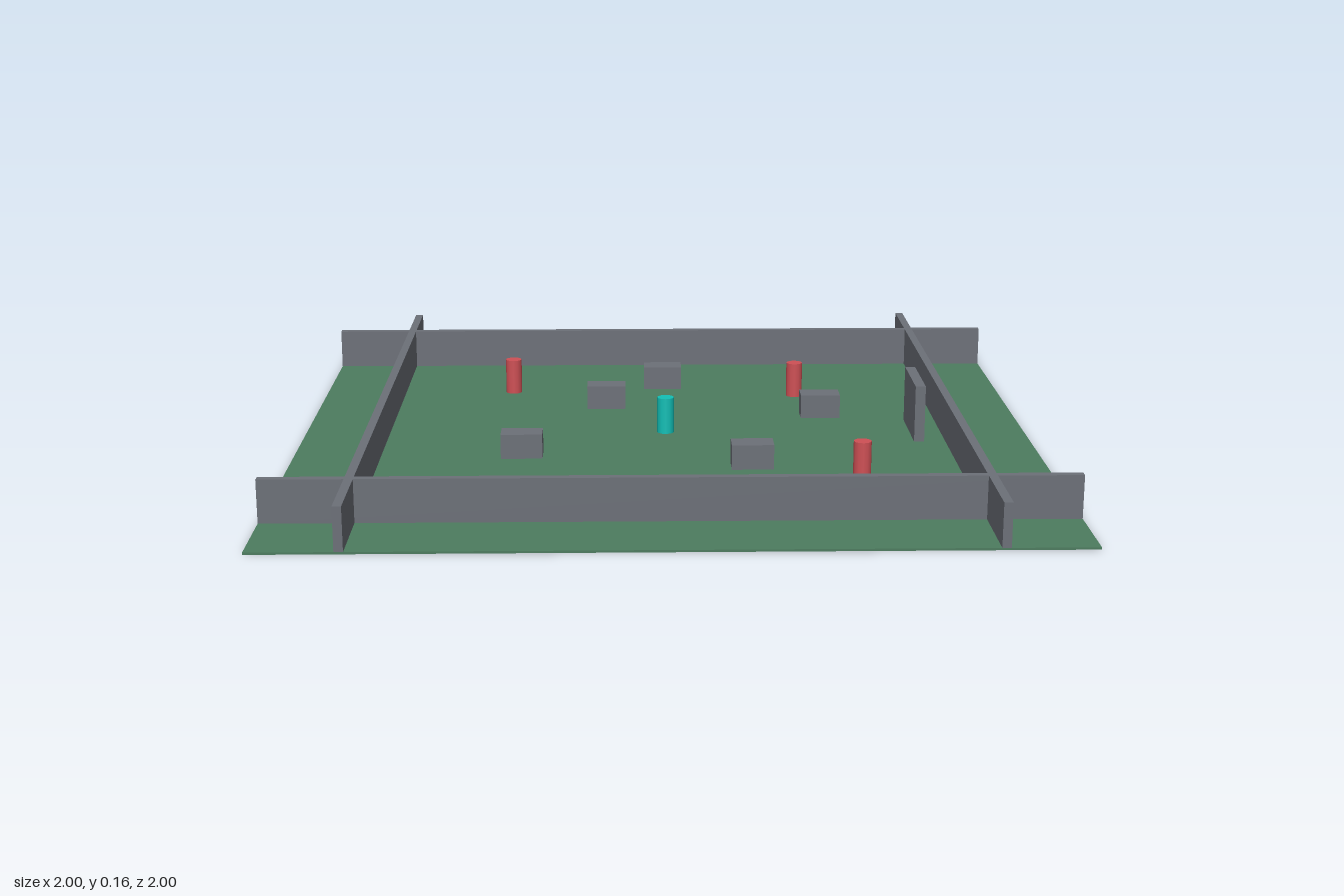
import * as THREE from 'three';

const U = 1 / 18; // the field is 36 units wide
const FLOOR = 0.1; // ground slab thickness, in units

const flat = (name, color) => {
  const m = new THREE.MeshStandardMaterial({ color });
  m.name = name;
  return m;
};

export function createModel() {
  const green = flat('grassGreen', 0x4d7c5f);
  const grey = flat('stoneGrey', 0x6c7078);
  const red = flat('markerRed', 0xcf5055);
  const cyan = flat('playerCyan', 0x12bfb6);

  const model = new THREE.Group();
  model.name = 'arena';

  // Place a geometry of height h so that it stands at height y
  const add = (name, geometry, material, x, z, h, y = FLOOR) => {
    const mesh = new THREE.Mesh(geometry, material);
    mesh.name = name;
    mesh.position.set(x * U, (y + h / 2) * U, z * U);
    model.add(mesh);
  };
  const box = (w, h, d) => new THREE.BoxGeometry(w * U, h * U, d * U);

  // Ground slab
  add('ground', box(36, FLOOR, 36), green, 0, 0, FLOOR, 0);

  // Boundary walls, crossing near the corners
  for (const s of [-1, 1]) {
    add(s < 0 ? 'backWall' : 'frontWall', box(36, 2, 0.4), grey, 0, 14 * s, 2);
    add(s < 0 ? 'rightWall' : 'leftWall', box(0.4, 2, 36), grey, 14 * s, 0, 2);
  }

  // Gate panel beside the left wall
  add('gate', box(0.5, 2.8, 4), grey, 12.5, 0, 2.8);

  // Low cover blocks
  const block = box(2, 1.2, 1.2);
  for (const [x, z] of [[0, -9], [-3, -5], [8, -3], [-7, 4], [4, 6]])
    add('coverBlock', block, grey, x, z, 1.2);

  // Upright markers: three red, one cyan in the centre
  const post = new THREE.CylinderGeometry(0.42 * U, 0.42 * U, 1.8 * U, 12);
  for (const [x, z] of [[-8, -8], [7, -7], [9, 8]])
    add('redPost', post, red, x, z, 1.8);
  add('centrePost', post, cyan, 0, 0, 1.8);

  return model;
}
